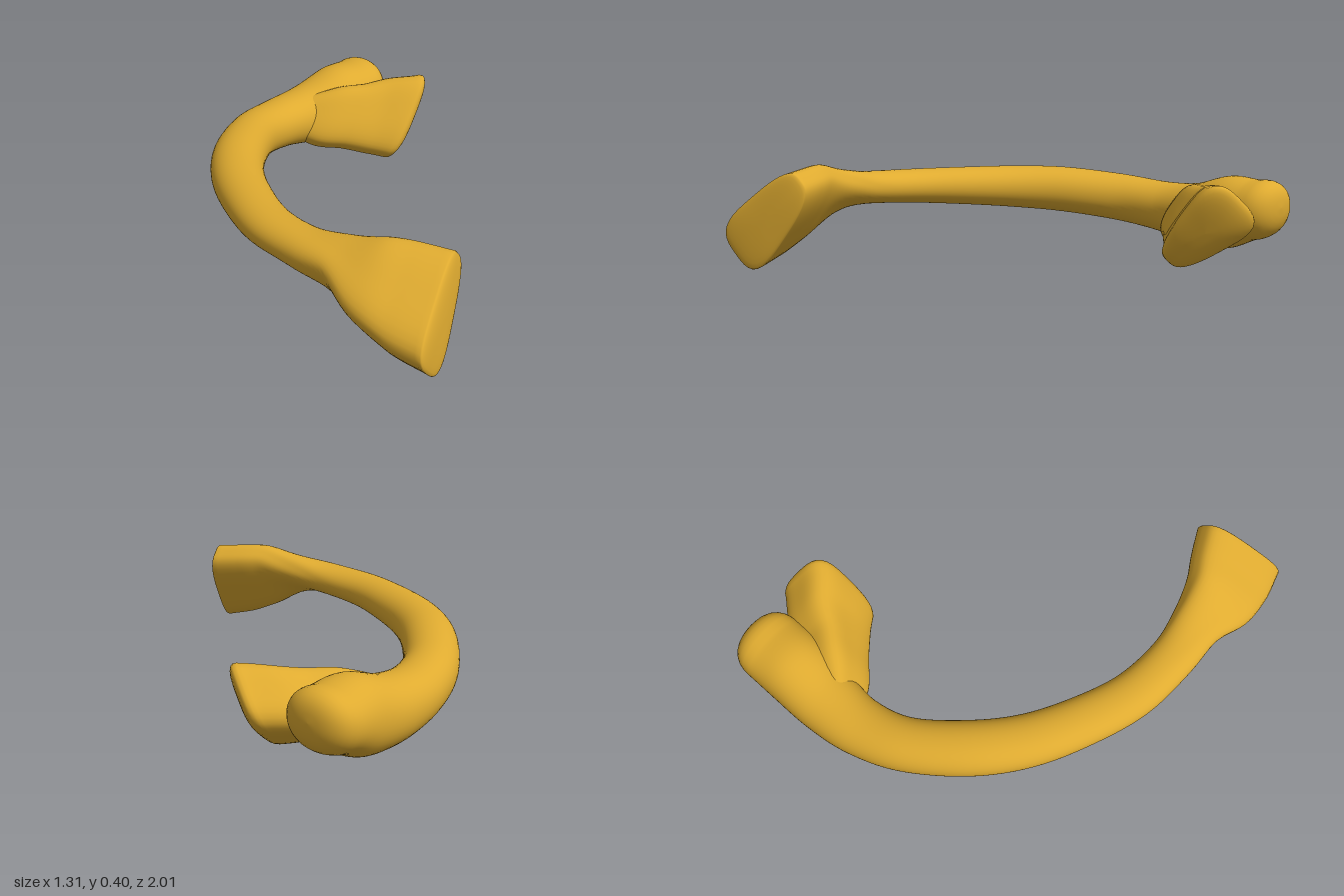
import * as THREE from 'three';

const SIDES = 48;
const UP = new THREE.Vector3(0, 1, 0);

// Smooth loft along stations [x, y, z, long half-size, short half-size] with domed ends.
// flare(t) from 0 to 1 turns an upright oval into a tilted, squarish wedge;
// taper widens its lower end and lean slants the flared sections along the path.
function loft(stations, { flare, taper, lean, startDome, endDome }) {
  const curve = (i) => new THREE.CatmullRomCurve3(
    stations.map((s) => new THREE.Vector3(s[i], s[i + 1], s[i + 2] ?? 0)), false, 'catmullrom', 0.5);
  const path = curve(0), size = curve(3);
  const pos = [], index = [];

  const ring = (t, scale, push) => {
    const tangent = path.getTangent(t);
    const centre = path.getPoint(t).addScaledVector(tangent, push);
    const side = tangent.clone().setY(0).normalize().cross(UP);
    const half = size.getPoint(t).multiplyScalar(scale);
    const f = flare(t), roll = -0.78 * f, power = 2.1 + 1.2 * f;
    for (let j = 0; j < SIDES; j++) {
      const a = (j / SIDES) * Math.PI * 2, c = Math.cos(a), s = Math.sin(a);
      const r = (Math.abs(c) ** power + Math.abs(s) ** power) ** (-1 / power);
      const u = half.x * r * c, v = half.y * r * s * (1 + taper * f * r * c);
      const rise = u * Math.sin(roll) + v * Math.cos(roll);
      const p = centre.clone()
        .addScaledVector(side, u * Math.cos(roll) - v * Math.sin(roll))
        .addScaledVector(UP, rise)
        .addScaledVector(tangent, lean * f * rise);
      pos.push(p.x, p.y, p.z);
    }
  };

  // Domes are superellipse arcs, so short ones stay flat with a rounded rim
  const DOME = 8, rows = (stations.length - 1) * 6;
  const dome = (t, k, length) => {
    const a = (k / DOME) * Math.PI / 2;
    ring(t, Math.max(Math.cos(a), 1e-6) ** 0.8, length * Math.sin(a) ** 0.8);
  };
  for (let k = DOME; k > 0; k--) dome(0, k, -startDome);
  for (let i = 0; i <= rows; i++) ring(i / rows, 1, 0);
  for (let k = 1; k <= DOME; k++) dome(1, k, endDome);

  for (let i = 0; i < rows + 2 * DOME; i++) {
    for (let j = 0; j < SIDES; j++) {
      const a = i * SIDES + j, c = i * SIDES + (j + 1) % SIDES;
      index.push(a, a + SIDES, c, c, a + SIDES, c + SIDES);
    }
  }
  const geometry = new THREE.BufferGeometry();
  geometry.setAttribute('position', new THREE.Float32BufferAttribute(pos, 3));
  geometry.setIndex(index);
  geometry.computeVertexNormals();
  return geometry;
}

export function createModel() {
  const group = new THREE.Group();
  const bone = new THREE.MeshStandardMaterial({ color: 0xdfab30 });
  bone.name = 'ochre bone';
  const add = (name, geometry) => {
    const mesh = new THREE.Mesh(geometry, bone);
    mesh.name = name;
    group.add(mesh);
  };

  // Curved shaft, from the rounded rear head to the flared front end
  add('ribShaft', loft([
    [-0.325, 0.23, -0.88, 0.145, 0.122],
    [-0.375, 0.208, -0.76, 0.148, 0.15],
    [-0.455, 0.185, -0.61, 0.135, 0.127],
    [-0.522, 0.195, -0.45, 0.118, 0.107],
    [-0.547, 0.222, -0.25, 0.108, 0.102],
    [-0.497, 0.252, 0, 0.11, 0.098],
    [-0.405, 0.266, 0.21, 0.106, 0.09],
    [-0.265, 0.277, 0.4, 0.1, 0.08],
    [-0.11, 0.287, 0.555, 0.095, 0.072],
    [0.08, 0.298, 0.665, 0.092, 0.068],
    [0.24, 0.305, 0.72, 0.105, 0.076],
    [0.38, 0.285, 0.77, 0.16, 0.097],
    [0.5, 0.258, 0.79, 0.196, 0.104],
    [0.625, 0.238, 0.8, 0.212, 0.108],
  ], {
    flare: (t) => THREE.MathUtils.smoothstep(t, 0.64, 0.86),
    taper: 0.28, lean: -0.07, startDome: 0.12, endDome: 0.02,
  }));

  // Side knob beside the head, wedge-shaped with a slanted face and a low front point
  add('ribTubercle', loft([
    [-0.5, 0.2, -0.54, 0.07, 0.06],
    [-0.37, 0.185, -0.59, 0.125, 0.095],
    [-0.25, 0.182, -0.645, 0.14, 0.1],
    [-0.14, 0.18, -0.7, 0.168, 0.108],
    [-0.04, 0.178, -0.735, 0.187, 0.112],
  ], { flare: () => 1, taper: -0.35, lean: 0.45, startDome: 0.02, endDome: 0.055 }));
  return group;
}
